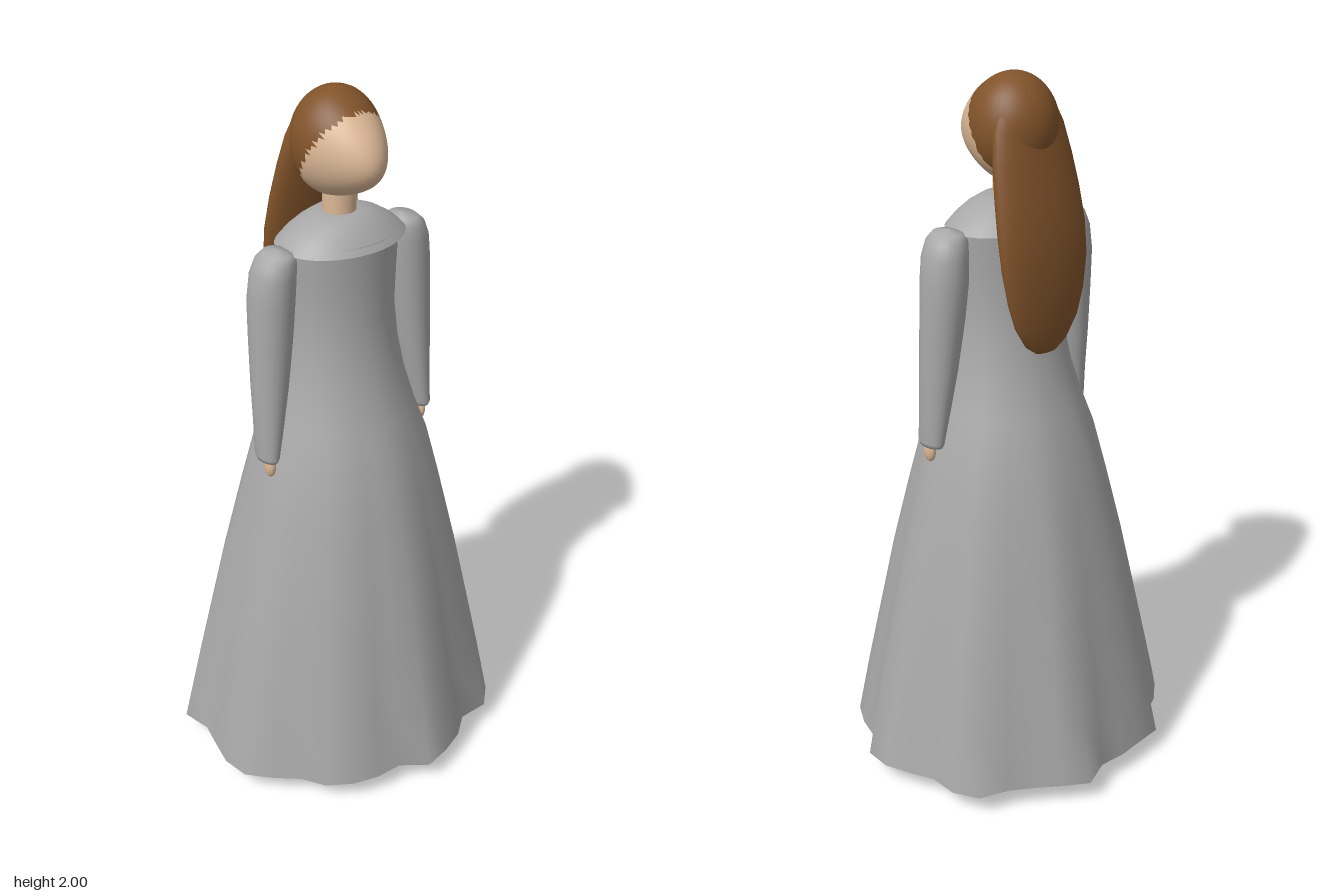
import * as THREE from 'three';

const mat = (name, color, side = THREE.FrontSide) => {
  const m = new THREE.MeshStandardMaterial({ color, side });
  m.name = name;
  return m;
};

// Smooth skin over elliptical rings [x, y, z, rx, rz], listed bottom to top.
// fold(angleIndex, y) scales the radius for pleats.
function loft(rings, segs, fold = () => 1) {
  const pos = [], idx = [];
  for (const [x, y, z, rx, rz] of rings) {
    for (let j = 0; j < segs; j++) {
      const a = (j / segs) * Math.PI * 2, f = fold(j, y);
      pos.push(x + rx * f * Math.sin(a), y, z + rz * f * Math.cos(a));
    }
  }
  for (let i = 0; i < rings.length - 1; i++) {
    for (let j = 0; j < segs; j++) {
      const a = i * segs + j, b = i * segs + ((j + 1) % segs);
      idx.push(a, b, a + segs, b, b + segs, a + segs);
    }
  }
  const g = new THREE.BufferGeometry();
  g.setAttribute('position', new THREE.Float32BufferAttribute(pos, 3));
  g.setIndex(idx);
  g.computeVertexNormals();
  return g;
}

// Hem radius every 10 degrees, from the front towards +x
const HEM = [
  0.445, 0.432, 0.42, 0.398, 0.444, 0.441, 0.429, 0.415, 0.454,
  0.448, 0.425, 0.412, 0.445, 0.454, 0.418, 0.415, 0.43, 0.455,
  0.41, 0.421, 0.431, 0.456, 0.411, 0.435, 0.451, 0.471, 0.43,
  0.438, 0.459, 0.466, 0.44, 0.42, 0.437, 0.433, 0.42, 0.401,
];
const HEM_MEAN = 0.434;

// Head: ellipsoid whose face is drawn out to a point; hair covers the back
function headGeometry() {
  const g = new THREE.SphereGeometry(1, 48, 36);
  const p = g.attributes.position;
  for (let i = 0; i < p.count; i++) {
    const x = p.getX(i), y = p.getY(i), z = p.getZ(i);
    const pull = 0.06 * Math.max(0, z) ** 3;
    p.setXYZ(i, 0.12 * x, 1.857 + 0.143 * y - pull * 0.4, -0.022 + 0.118 * z + pull);
  }
  g.computeVertexNormals();
  const skin = [], hair = [], src = g.index.array;
  for (let i = 0; i < src.length; i += 3) {
    const tri = [src[i], src[i + 1], src[i + 2]];
    const y = tri.reduce((s, v) => s + p.getY(v), 0) / 3;
    const z = tri.reduce((s, v) => s + p.getZ(v), 0) / 3;
    (z > 0.083 - 0.62 * (1.965 - y) ? skin : hair).push(...tri);
  }
  g.setIndex([...skin, ...hair]);
  g.clearGroups();
  g.addGroup(0, skin.length, 0);
  g.addGroup(skin.length, hair.length, 1);
  return g;
}

export function createModel() {
  const model = new THREE.Group();
  model.name = 'womanInLongDress';
  const cloth = mat('greyCloth', 0xa8a8a8, THREE.DoubleSide);
  const skin = mat('skin', 0xdcb896);
  const hair = mat('brownHair', 0x81532a);
  const black = mat('blackLeather', 0x222222);

  const add = (name, geometry, material, x = 0, y = 0, z = 0) => {
    const m = new THREE.Mesh(geometry, material);
    m.name = name;
    m.position.set(x, y, z);
    model.add(m);
    return m;
  };

  // Dress: pleats fade out from hem to waist
  const dress = [
    [0.065, 0.456, 0.434], [0.25, 0.42, 0.4], [0.45, 0.378, 0.36],
    [0.65, 0.334, 0.322], [0.85, 0.286, 0.274], [1, 0.247, 0.236],
    [1.1, 0.21, 0.198], [1.2, 0.18, 0.166], [1.3, 0.161, 0.143],
    [1.4, 0.152, 0.13], [1.5, 0.157, 0.128], [1.62, 0.165, 0.128],
  ].map(([y, rx, rz]) => [0, y, 0, rx, rz]);
  add('dress', loft(dress, 36, (j, y) =>
    1 + (HEM[j] / HEM_MEAN - 1) * Math.max(0, (1.25 - y) / 1.185)), cloth);

  // Wide collar closing in to the neck
  add('collar', loft([
    [0, 1.602, 0, 0.187, 0.14], [0, 1.63, 0, 0.158, 0.12], [0, 1.655, 0, 0.12, 0.097],
    [0, 1.674, 0, 0.075, 0.07], [0, 1.676, 0, 0.04, 0.04],
  ], 36), cloth);

  add('neck', new THREE.CylinderGeometry(0.045, 0.045, 0.12, 24), skin, 0, 1.7, -0.005);
  add('head', headGeometry(), [skin, hair]);

  // Long hair hanging down the back
  add('longHair', loft([
    [0, 1.268, -0.152, 0, 0], [0, 1.275, -0.152, 0.035, 0.013], [0, 1.3, -0.152, 0.07, 0.023],
    [0, 1.36, -0.153, 0.108, 0.031], [0, 1.43, -0.151, 0.13, 0.037],
    [0, 1.52, -0.145, 0.145, 0.044], [0, 1.61, -0.132, 0.147, 0.049],
    [0, 1.7, -0.114, 0.141, 0.05], [0, 1.79, -0.094, 0.13, 0.049],
    [0, 1.87, -0.077, 0.114, 0.047], [0, 1.93, -0.065, 0.088, 0.042],
    [0, 1.965, -0.055, 0.05, 0.03], [0, 1.975, -0.05, 0, 0],
  ], 32), hair);

  for (const [side, s] of [['left', 1], ['right', -1]]) {
    // Sleeve narrowing to the wrist, with the hand below
    add(side + 'Sleeve', loft([
      [0.26, 1.017, 0.02, 0, 0], [0.26, 1.018, 0.02, 0.024, 0.04],
      [0.26, 1.03, 0.02, 0.028, 0.045], [0.25, 1.12, 0.015, 0.038, 0.049],
      [0.239, 1.24, 0.009, 0.049, 0.057], [0.228, 1.38, 0.003, 0.058, 0.064],
      [0.222, 1.48, 0, 0.062, 0.068], [0.216, 1.55, 0.002, 0.06, 0.066],
      [0.208, 1.59, 0.004, 0.052, 0.06], [0.203, 1.61, 0.005, 0.036, 0.046],
      [0.2, 1.618, 0.005, 0, 0],
    ].map(([x, ...r]) => [s * x, ...r]), 24), cloth);
    add(side + 'Hand', new THREE.SphereGeometry(1, 16, 12), skin, s * 0.259, 1, 0.03)
      .scale.set(0.014, 0.036, 0.022);

    // Leg and shoe with a flattened sole
    add(side + 'Leg', new THREE.CylinderGeometry(0.07, 0.035, 0.9, 20), black, s * 0.1, 0.5, -0.025);
    const shoe = new THREE.SphereGeometry(1, 24, 16);
    shoe.scale(0.05, 0.058, 0.106);
    const p = shoe.attributes.position;
    for (let i = 0; i < p.count; i++) p.setY(i, Math.max(p.getY(i), -0.05));
    shoe.computeVertexNormals();
    add(side + 'Shoe', shoe, black, s * 0.098, 0.05, 0.036);
  }
  return model;
}
